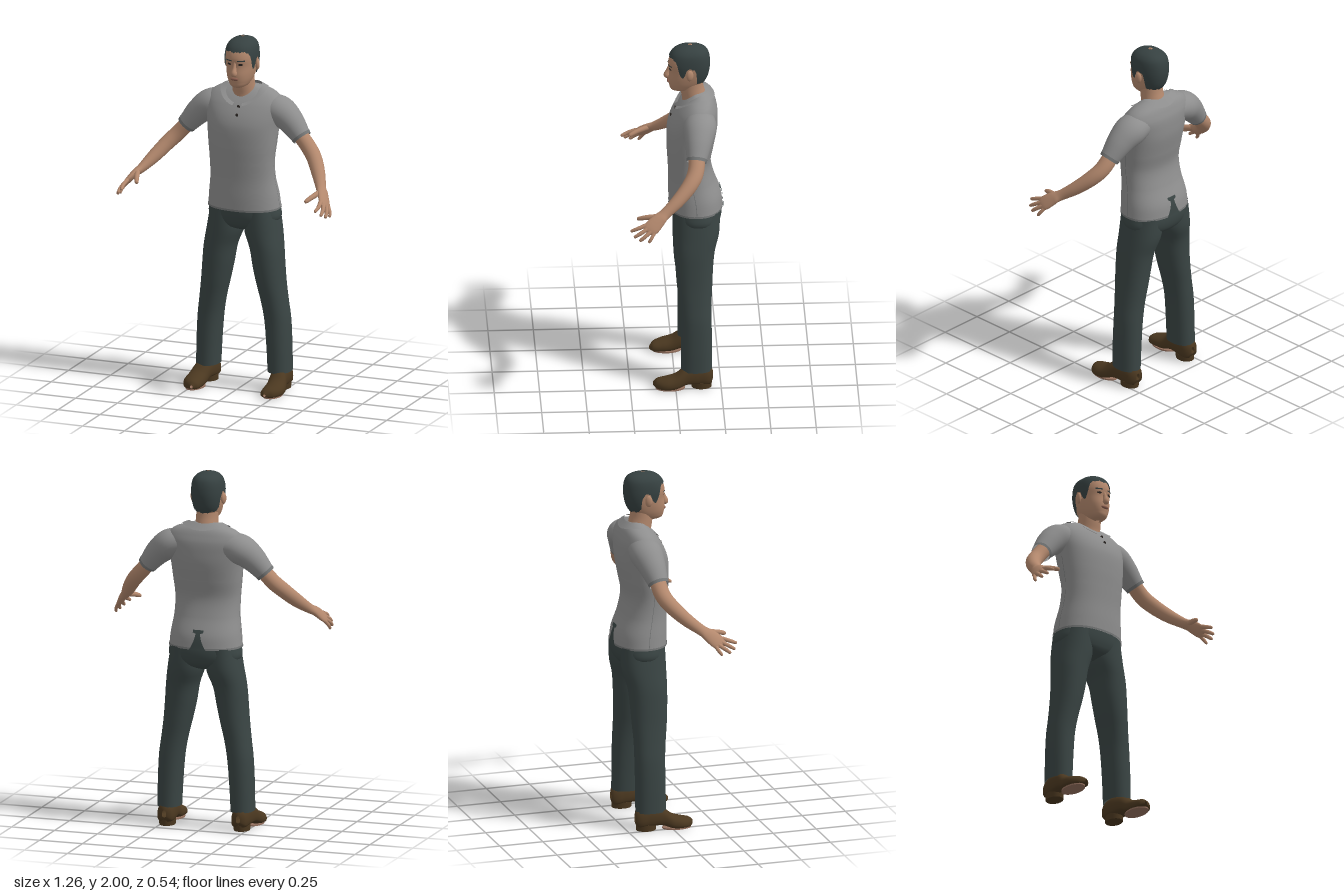
import * as THREE from 'three';
import { ParametricGeometry } from 'three/addons/geometries/ParametricGeometry.js';

const mat = (name, color, side = THREE.DoubleSide) => new THREE.MeshStandardMaterial({ name, color, side });

// Smooth interpolation of table rows by their first column
function interp(rows, k) {
  const n = rows.length - 1;
  let i = 0;
  while (i < n - 1 && k > rows[i + 1][0]) i++;
  const a = rows[i], b = rows[i + 1], h = b[0] - a[0];
  const t = THREE.MathUtils.clamp((k - a[0]) / h, 0, 1);
  const slope = (j, c) => {
    const p = rows[Math.max(j - 1, 0)], q = rows[Math.min(j + 1, n)];
    return (q[c] - p[c]) / (q[0] - p[0]);
  };
  return a.map((v, c) => c === 0 ? k :
    v * (1 - t) ** 2 * (1 + 2 * t) + b[c] * t * t * (3 - 2 * t) +
    h * (slope(i, c) * t * (1 - t) ** 2 - slope(i + 1, c) * t * t * (1 - t)));
}

// Point on a body shell with rows [y, frontZ, backZ, halfWidth, centreX]; angle 0 is the front
function shellPoint(rows, angle, y, target, off = 0, n = 2.25) {
  const [, zf, zb, hw, xc = 0] = interp(rows, y);
  const s = Math.sin(angle), c = Math.cos(angle);
  const r = 1 / Math.pow(Math.abs(s) ** n + Math.abs(c) ** n, 1 / n);
  target.set(xc + (hw + off) * r * s, y, (zf + zb) / 2 + ((zf - zb) / 2 + off) * r * c);
}

export function createModel() {
  const model = new THREE.Group();
  const skin = mat('skin', 0xb3886d), hair = mat('dark hair', 0x364141), shirt = mat('grey shirt', 0x8e8e8e);
  const trim = mat('shirt trim', 0x747676), trousers = mat('trousers', 0x3a4544), leather = mat('brown leather', 0x4b3820);
  const dark = mat('dark detail', 0x2a2522), lip = mat('lips', 0x8d6050), sole = mat('sole', 0x94705e);

  const add = (name, geometry, material) => {
    const mesh = new THREE.Mesh(geometry, material);
    mesh.name = name;
    model.add(mesh);
    return mesh;
  };
  // Parametric surface; side -1 mirrors it to the other half of the body
  const surface = (name, material, fn, nu, nv, side = 1) => add(name, new ParametricGeometry((u, v, p) => {
    fn(side < 0 ? 1 - u : u, v, p);
    p.x *= side;
  }, nu, nv), material);
  const shell = (name, material, rows, nv, side = 1, nu = 40) => surface(name, material, (u, v, p) =>
    shellPoint(rows, u * Math.PI * 2, THREE.MathUtils.lerp(rows[0][0], rows[rows.length - 1][0], v), p), nu, nv, side);
  // Thin painted area lying on a shell
  const patch = (name, material, rows, a0, a1, y0, y1, off, side = 1, nu = 12, nv = 4) =>
    surface(name, material, (u, v, p) => shellPoint(rows, a0 + (a1 - a0) * u, y0 + (y1 - y0) * v, p, off), nu, nv, side);
  // Limb with rows [x, y, z, radius in front plane, radius in depth]
  const limb = (name, material, rows, nv, side = 1, nu = 20) => {
    const keyed = rows.map((r, i) => [i, ...r]), last = rows.length - 1;
    const ref = new THREE.Vector3(0, 0, 1);
    return surface(name, material, (u, v, p) => {
      const k = v * last, [, x, y, z, r1, r2] = interp(keyed, k);
      const a = interp(keyed, Math.max(k - 0.02, 0)), b = interp(keyed, Math.min(k + 0.02, last));
      const T = new THREE.Vector3(b[1] - a[1], b[2] - a[2], b[3] - a[3]).normalize();
      const e1 = ref.clone().cross(T).normalize(), e2 = T.clone().cross(e1), w = u * Math.PI * 2;
      p.set(x, y, z).addScaledVector(e1, r1 * Math.cos(w)).addScaledVector(e2, r2 * Math.sin(w));
    }, nu, nv, side);
  };

  // Shirt body, hem, placket and buttons
  const torso = [
    [1.025, 0.028, -0.268, 0.205], [1.1, 0.03, -0.258, 0.198], [1.2, 0.03, -0.222, 0.185],
    [1.3, 0.035, -0.203, 0.185], [1.4, 0.04, -0.22, 0.195], [1.5, 0.037, -0.238, 0.205],
    [1.56, 0.02, -0.241, 0.215], [1.62, -0.012, -0.238, 0.222], [1.66, -0.042, -0.226, 0.205],
    [1.69, -0.07, -0.212, 0.165], [1.712, -0.095, -0.19, 0.1], [1.722, -0.1, -0.16, 0.055]];
  shell('shirtBody', shirt, torso, 48, 1, 56);
  patch('shirtHem', trim, torso, 0, Math.PI * 2, 1.025, 1.036, 0.002, 1, 56, 1);
  patch('placket', shirt, torso, -0.06, 0.06, 1.54, 1.64, 0.004);
  for (const y of [1.575, 1.618]) {
    const button = add('button', new THREE.SphereGeometry(0.009, 12, 8), dark);
    shellPoint(torso, 0.04, y, button.position, 0.004);
    button.scale.z = 0.5;
  }
  // Parting at the back of the hem
  surface('backVent', trousers, (u, v, p) => {
    const w = 0.06 + 0.17 * (1 - v) ** 2 + (v > 0.85 ? 0.09 : 0);
    shellPoint(torso, Math.PI + (u - 0.5) * 2 * w, 1.025 + 0.11 * v, p, 0.005);
  }, 8, 16);

  // Folded collar, open at the front
  surface('collar', shirt, (u, v, p) => {
    const a = 0.2 + u * (Math.PI * 2 - 0.4), s = Math.sin(a), c = Math.cos(a), k = 1 - v;
    p.set((0.1 + 0.035 * k) * s,
      THREE.MathUtils.lerp(1.655 - 0.035 * c + 0.05 * s * s, 1.685 - 0.04 * c + 0.032 * s * s, v),
      -0.117 + (0.075 + (c > 0 ? 0.042 : 0.034) * k) * c);
  }, 40, 5);

  // Neck and head
  limb('neck', skin, [[0, 1.62, -0.115, 0.074, 0.07], [0, 1.68, -0.112, 0.067, 0.067],
    [0, 1.74, -0.1, 0.062, 0.064], [0, 1.81, -0.095, 0.062, 0.06]], 12, 1, 28);
  const skull = [
    [1.72, -0.02, -0.08, 0.012], [1.732, 0.014, -0.11, 0.04], [1.76, 0.026, -0.145, 0.06],
    [1.8, 0.031, -0.175, 0.073], [1.85, 0.026, -0.19, 0.081], [1.9, 0.03, -0.194, 0.083],
    [1.95, 0.012, -0.186, 0.075], [1.975, -0.012, -0.168, 0.058], [1.989, -0.045, -0.135, 0.034],
    [1.997, -0.085, -0.095, 0.004]];
  shell('head', skin, skull, 40);
  const hairline = [[0, 1.933], [0.6, 1.935], [0.95, 1.915], [1.12, 1.85], [1.3, 1.835], [1.5, 1.885],
    [1.85, 1.875], [2.05, 1.8], [2.5, 1.785], [3.15, 1.775]];
  surface('hair', hair, (u, v, p) => {
    const a = (u - 0.5) * Math.PI * 2;
    const low = interp(hairline, Math.abs(a))[1] + 0.005 * Math.sin(a * 23) * Math.cos(a * 9);
    shellPoint(skull, a, THREE.MathUtils.lerp(low, 1.997, Math.sin(v * Math.PI / 2)), p, 0.006);
    p.y += 0.003 * v;
  }, 96, 24);

  // Face
  limb('nose', skin, [[0, 1.88, 0.02, 0.008, 0.008], [0, 1.845, 0.029, 0.01, 0.013], [0, 1.818, 0.037, 0.017, 0.019],
    [0, 1.806, 0.034, 0.014, 0.014], [0, 1.8, 0.03, 0.002, 0.002]], 16);
  const mouth = add('mouth', new THREE.SphereGeometry(1, 16, 10), lip);
  mouth.scale.set(0.025, 0.009, 0.009);
  mouth.position.set(0, 1.783, 0.029);
  for (const side of [1, -1]) {
    surface('eye', dark, (u, v, p) => shellPoint(skull, 0.24 + 0.32 * u,
      1.866 + (v - 0.5) * (0.003 + 0.009 * Math.sin(Math.PI * u)), p, 0.002), 10, 3, side);
    patch('eyebrow', hair, skull, 0.18, 0.66, 1.884, 1.891, 0.003, side);
    const ear = add('ear', new THREE.SphereGeometry(1, 14, 10), skin);
    ear.scale.set(0.012, 0.032, 0.02);
    ear.position.set(side * 0.09, 1.85, -0.085);
    ear.rotation.y = side * 0.3;
  }

  // Trouser seat
  shell('trouserSeat', trousers, [[0.895, -0.08, -0.17, 0.01], [0.92, -0.02, -0.23, 0.13], [0.96, 0.004, -0.258, 0.2],
    [1.03, 0.012, -0.262, 0.2], [1.09, 0.005, -0.24, 0.18]], 14);

  const leg = [
    [0.105, -0.03, -0.2, 0.064, 0.213], [0.25, -0.03, -0.2, 0.067, 0.208], [0.4, -0.03, -0.2, 0.07, 0.198],
    [0.5, -0.022, -0.2, 0.072, 0.183], [0.6, -0.01, -0.205, 0.078, 0.165], [0.7, -0.003, -0.21, 0.085, 0.15],
    [0.8, 0, -0.22, 0.09, 0.137], [0.9, 0.002, -0.245, 0.1, 0.112], [1.03, 0, -0.25, 0.09, 0.1]];
  // Shoe rows: z, centre x, half width, underside y, top y
  const shoe = [
    [-0.206, 0.215, 0.012, 0.05, 0.09], [-0.195, 0.215, 0.042, 0.022, 0.125], [-0.13, 0.218, 0.05, 0.022, 0.145],
    [-0.06, 0.226, 0.05, 0.024, 0.13], [0, 0.235, 0.057, 0.006, 0.086], [0.06, 0.235, 0.056, 0.004, 0.066],
    [0.105, 0.225, 0.038, 0.005, 0.052], [0.125, 0.217, 0.008, 0.015, 0.032]];
  const index = [[0.576, 1.183, 0.178], [0.582, 1.165, 0.225], [0.576, 1.147, 0.265]];
  const middle = [[0.587, 1.17, 0.165], [0.602, 1.145, 0.21], [0.604, 1.122, 0.247]];
  const ring = [[0.597, 1.157, 0.15], [0.615, 1.13, 0.187], [0.619, 1.106, 0.217]];
  const little = [[0.604, 1.147, 0.135], [0.62, 1.12, 0.152], [0.624, 1.098, 0.167]];
  const thumb = [[0.543, 1.218, 0.11], [0.522, 1.203, 0.175], [0.501, 1.185, 0.225]];

  for (const side of [1, -1]) {
    shell('trouserLeg', trousers, leg, 32, side, 32);
    patch('shirtSideSeam', trim, torso, 1.56, 1.585, 1.04, 1.47, 0.003, side, 1, 20);

    // Shoe, heel and sole
    surface('shoe', leather, (u, v, p) => {
      const [z, x, hw, lo, hi] = interp(shoe, THREE.MathUtils.lerp(-0.206, 0.125, v));
      const a = u * Math.PI * 2, s = Math.sin(a);
      const flat = Math.sign(s) * Math.abs(s) ** (s < 0 ? 0.5 : 0.9);
      const mid = lo + (hi - lo) * 0.35;
      p.set(x + hw * Math.cos(a), mid + flat * (s < 0 ? mid - lo : hi - mid), z);
    }, 28, 28, side);
    const heel = add('heel', new THREE.CylinderGeometry(0.046, 0.044, 0.035, 20), leather);
    heel.scale.z = 1.25;
    heel.position.set(side * 0.217, 0.0175, -0.143);
    const pad = add('sole', new THREE.CylinderGeometry(1, 1, 0.008, 28), sole);
    pad.scale.set(0.05, 1, 0.082);
    pad.position.set(side * 0.231, 0.004, 0.03);

    // Sleeve with cuff
    limb('sleeve', shirt, [[0.12, 1.6, -0.14, 0.07, 0.08], [0.2, 1.583, -0.135, 0.084, 0.092],
      [0.27, 1.535, -0.125, 0.073, 0.077], [0.345, 1.45, -0.11, 0.053, 0.054]], 20, side, 28);
    limb('sleeveCuff', trim, [[0.336, 1.461, -0.112, 0.057, 0.058], [0.347, 1.448, -0.11, 0.054, 0.055]], 2, side, 28);

    // Bare arm running into the palm
    limb('arm', skin, [[0.3, 1.5, -0.115, 0.042, 0.045], [0.38, 1.41, -0.105, 0.043, 0.045],
      [0.435, 1.352, -0.07, 0.042, 0.043], [0.49, 1.283, 0, 0.037, 0.037], [0.533, 1.23, 0.07, 0.026, 0.031],
      [0.558, 1.207, 0.105, 0.021, 0.038], [0.585, 1.172, 0.147, 0.016, 0.043],
      [0.596, 1.156, 0.17, 0.01, 0.032], [0.599, 1.15, 0.176, 0.002, 0.01]], 44, side);

    // Fingers
    Object.entries({ index, middle, ring, little, thumb }).forEach(([name, [a, b, c]]) => {
      const r = { thumb: 0.014, little: 0.0095 }[name] ?? 0.011;
      const tip = c.map((v, i) => v - (c[i] - b[i]) * 0.15);
      limb(name + 'Finger', skin, [[...a, r * 1.1, r * 1.1], [...b, r, r], [...tip, r * 0.75, r * 0.75],
        [...c, 0.001, 0.001]], 12, side, 10);
    });
  }
  return model;
}
